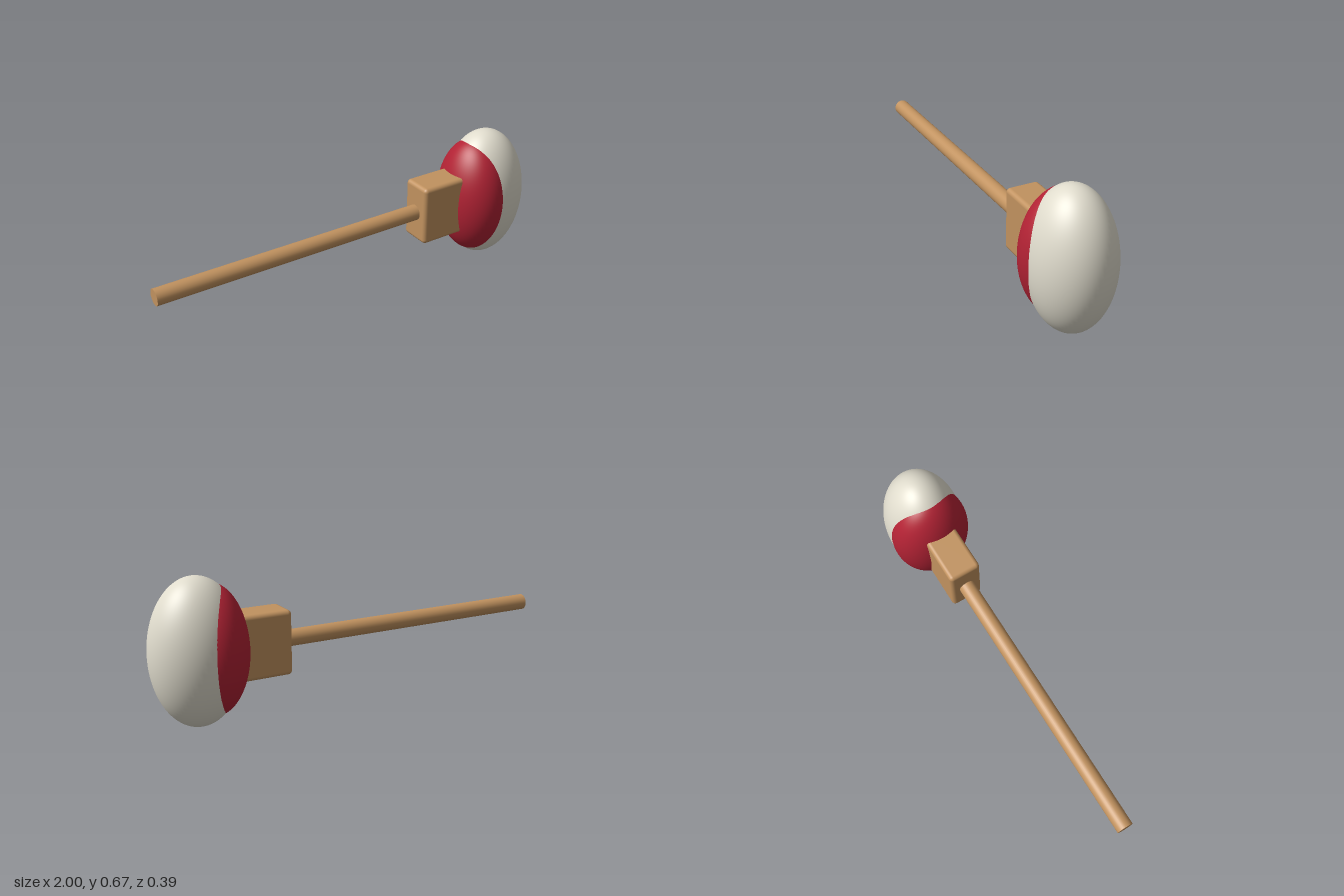
import * as THREE from 'three';
import { RoundedBoxGeometry } from 'three/addons/geometries/RoundedBoxGeometry.js';

const MID = 0.337; // height of the central axis

function material(name, color) {
  const m = new THREE.MeshStandardMaterial({ color });
  m.name = name;
  return m;
}

export function createModel() {
  const group = new THREE.Group();
  const wood = material('wood', 0xc1925f);
  const red = material('red', 0xb22234);
  const cream = material('cream', 0xe0dccd);

  function add(name, geometry, mat, x) {
    const mesh = new THREE.Mesh(geometry, mat);
    mesh.name = name;
    mesh.position.set(x, MID, 0);
    group.add(mesh);
    return mesh;
  }

  const ellipsoid = (rx, ry, rz) => new THREE.SphereGeometry(1, 64, 48).scale(rx, ry, rz);

  // Round handle running along x into the block
  add('handle', new THREE.CylinderGeometry(0.039, 0.039, 1.4, 32).rotateZ(Math.PI / 2), wood, -0.3);

  // Rounded block joining handle and head
  add('block', new RoundedBoxGeometry(0.3, 0.3, 0.16, 4, 0.02), wood, 0.514);

  // Two overlapping padded ellipsoids form the head
  add('backPad', ellipsoid(0.164, 0.301, 0.195), red, 0.72);
  add('frontPad', ellipsoid(0.215, 0.337, 0.188), cream, 0.785);

  return group;
}
